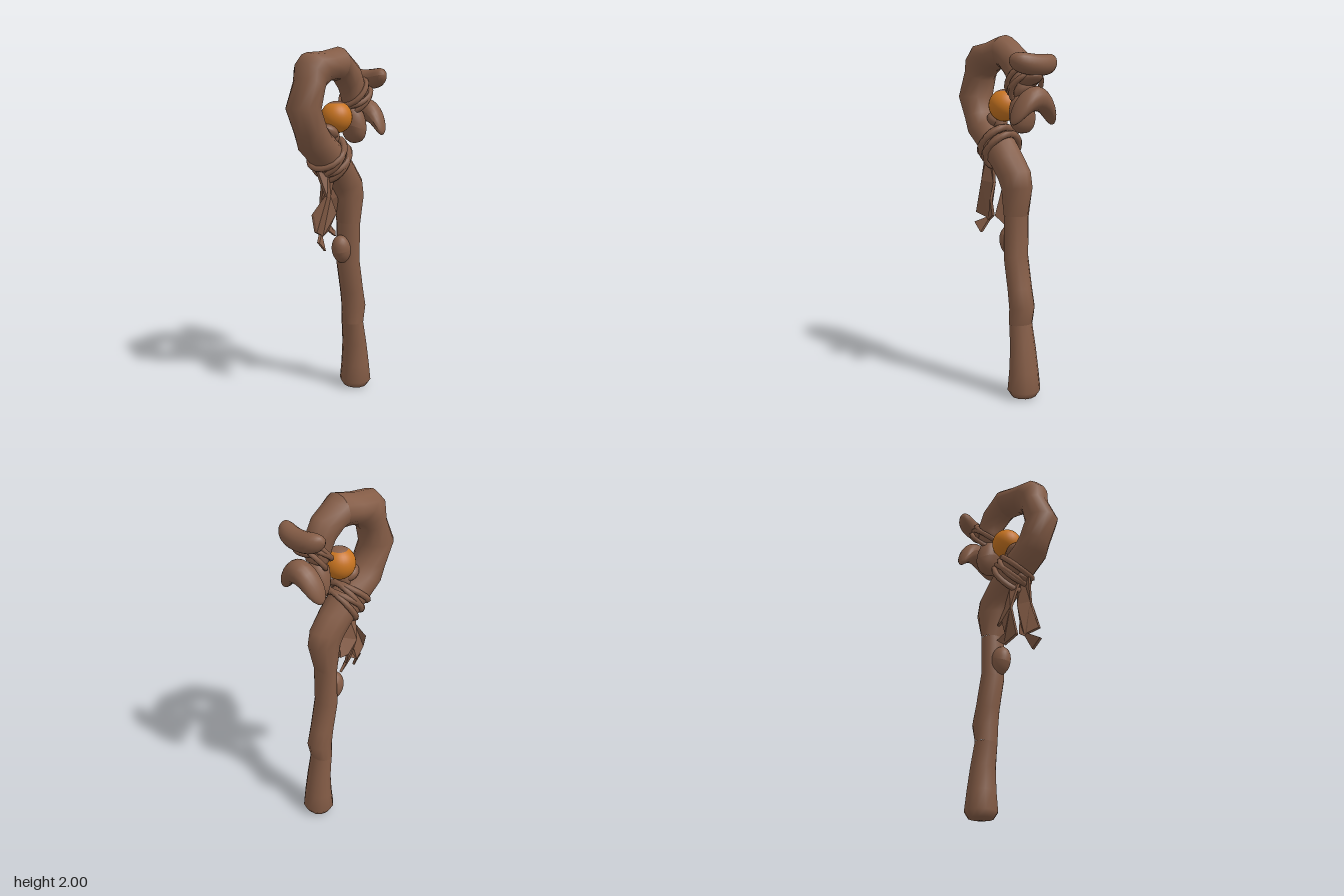
import * as THREE from 'three';

const wood = new THREE.MeshStandardMaterial({ color: 0x845c46 });
wood.name = 'brown wood';
const amber = new THREE.MeshStandardMaterial({ color: 0xc87420 });
amber.name = 'amber';
const cloth = new THREE.MeshStandardMaterial({ color: 0x845c46, side: THREE.DoubleSide });
cloth.name = 'brown cloth';

function add(parent, name, geometry, material, x = 0, y = 0, z = 0, turn = 0) {
  const mesh = new THREE.Mesh(geometry, material);
  mesh.name = name;
  mesh.position.set(x, y, z);
  mesh.rotation.z = turn;
  parent.add(mesh);
  return mesh;
}

// Skin through oval sections, each [outer x, outer y, inner x, inner y];
// half depth runs evenly from depthA to depthB, and closed ends are rounded off
function loft(sections, depthA, depthB, closeStart, closeEnd) {
  const sides = 12, last = sections.length - 1;
  const rings = sections.map(([ax, ay, bx, by], i) => ({
    x: (ax + bx) / 2, y: (ay + by) / 2, u: (bx - ax) / 2, v: (by - ay) / 2,
    depth: THREE.MathUtils.lerp(depthA, depthB, i / last),
  }));
  const cap = (r, side) => [[0.75, 0.2], [0.02, 0.25]].map(([s, out]) => ({
    x: r.x - r.v * out * side * 2, y: r.y + r.u * out * side * 2,
    u: r.u * s, v: r.v * s, depth: r.depth * s,
  }));
  if (closeEnd) rings.push(...cap(rings[last], 1));
  if (closeStart) rings.unshift(...cap(rings[0], -1).reverse());
  const pos = [], index = [];
  rings.forEach((r, i) => {
    for (let j = 0; j < sides; j++) {
      const t = (j / sides) * Math.PI * 2, c = Math.cos(t);
      pos.push(r.x + r.u * c, r.y + r.v * c, Math.sin(t) * r.depth);
      if (i === rings.length - 1) continue;
      const p = i * sides + j, q = i * sides + (j + 1) % sides;
      index.push(p, p + sides, q, q, p + sides, q + sides);
    }
  });
  const g = new THREE.BufferGeometry();
  g.setAttribute('position', new THREE.Float32BufferAttribute(pos, 3));
  g.setIndex(index);
  g.computeVertexNormals();
  return g;
}

// Ellipsoid along z whose ends swell and bend by (bendX, bendY)
function lobe(rx, ry, rz, bendX = 0, bendY = 0, swell = 0) {
  const g = new THREE.SphereGeometry(1, 18, 16).rotateX(Math.PI / 2);
  const p = g.attributes.position;
  for (let i = 0; i < p.count; i++) {
    const z = p.getZ(i), s = 1 + swell * z * z;
    p.setXYZ(i, p.getX(i) * rx * s + bendX * z * z, p.getY(i) * ry * s + bendY * z * z, z * rz);
  }
  g.computeVertexNormals();
  return g;
}

// Bands looped round a branch whose direction is the given angle
function wraps(parent, name, x, y, angle, rx, rz, tube, count, gap) {
  const group = new THREE.Group();
  group.name = name;
  group.position.set(x, y, 0);
  group.rotation.z = angle;
  for (let i = 0; i < count; i++) {
    const g = new THREE.TorusGeometry(1, tube / rz, 6, 20).rotateY(Math.PI / 2);
    g.scale(rz, rx, rz);
    const lean = i % 2 ? -0.12 : 0.12;
    const band = add(group, 'band', g, wood, (i - (count - 1) / 2) * gap, 0, 0, lean);
    band.rotation.y = lean;
  }
  parent.add(group);
}

// Ragged strip with a ripple in depth
function strip(parent, name, points, z, phase) {
  const shape = new THREE.Shape(points.map(([x, y]) => new THREE.Vector2(x, y)));
  const g = new THREE.ExtrudeGeometry(shape, { depth: 0.018, bevelEnabled: false });
  const p = g.attributes.position;
  for (let i = 0; i < p.count; i++) {
    p.setZ(i, p.getZ(i) + z + 0.025 * Math.sin(p.getY(i) * 20 + p.getX(i) * 25 + phase));
  }
  g.computeVertexNormals();
  add(parent, name, g, cloth);
}

export function createModel() {
  const model = new THREE.Group();
  model.name = 'staff';

  // Flared foot, shaft and bend, joined to the hook under the binding
  add(model, 'foot', loft([
    [0.105, 0.045, 0.285, 0.045], [0.115, 0.15, 0.272, 0.15],
    [0.12, 0.28, 0.25, 0.28], [0.105, 0.41, 0.225, 0.42],
  ], 0.095, 0.067, true, false), wood);
  add(model, 'shaft', loft([
    [0.105, 0.41, 0.225, 0.42], [0.1, 0.5, 0.25, 0.52], [0.093, 0.6, 0.22, 0.62],
    [0.06, 0.78, 0.183, 0.8], [0.065, 1.02, 0.182, 1.02],
  ], 0.069, 0.073, false, false), wood);
  add(model, 'bend', loft([
    [0.065, 1.02, 0.182, 1.02], [0.03, 1.165, 0.225, 1.18], [0.005, 1.21, 0.205, 1.27],
    [-0.04, 1.27, 0.13, 1.36], [-0.12, 1.34, 0.06, 1.44],
  ], 0.075, 0.1, false, false), wood);
  add(model, 'hook', loft([
    [-0.12, 1.34, 0.06, 1.44], [-0.25, 1.45, -0.07, 1.54], [-0.272, 1.53, -0.12, 1.59],
    [-0.345, 1.675, -0.153, 1.67], [-0.272, 1.83, -0.135, 1.76], [-0.27, 1.91, -0.11, 1.785],
    [-0.22, 1.962, -0.07, 1.81], [-0.1, 1.972, -0.02, 1.82], [0.03, 2, 0.02, 1.82],
  ], 0.1, 0.094, false, false), wood);
  add(model, 'hookTip', loft([
    [0.03, 2, 0.02, 1.82], [0.07, 1.975, 0.045, 1.805], [0.17, 1.91, 0.08, 1.76],
    [0.22, 1.83, 0.09, 1.72], [0.23, 1.72, 0.11, 1.67],
  ], 0.094, 0.065, false, true), wood);

  // Knot on the shaft
  add(model, 'shaftKnot', lobe(0.06, 0.085, 0.055), wood, 0.065, 0.87, 0, 0.25);

  // Orb with its dark crown and the stub that holds it
  const orb = new THREE.Group();
  orb.name = 'orb';
  orb.position.set(0.018, 1.622, 0);
  const cut = 0.55;
  add(orb, 'orbBody', new THREE.SphereGeometry(0.088, 28, 18, 0, Math.PI * 2, cut, Math.PI - cut), amber);
  add(orb, 'orbCrown', new THREE.SphereGeometry(0.088, 28, 5, 0, Math.PI * 2, 0, cut), wood);
  model.add(orb);
  add(model, 'orbStub', lobe(0.06, 0.04, 0.055), wood, -0.05, 1.545, 0, -0.45);
  add(model, 'orbNeck', lobe(0.035, 0.06, 0.04), wood, -0.015, 1.52);

  // Bindings below the hook and at the hook tip
  wraps(model, 'shaftBinding', -0.03, 1.4, 2.43, 0.112, 0.1, 0.018, 4, 0.027);
  wraps(model, 'tipBinding', 0.185, 1.735, 2.3, 0.095, 0.085, 0.015, 3, 0.028);
  add(model, 'clothKnot', lobe(0.04, 0.035, 0.05), wood, -0.1, 1.35, 0, 0.5);

  // Hanging rags
  strip(model, 'longRag', [
    [-0.15, 1.345], [-0.09, 1.37], [-0.04, 1.33], [-0.055, 1.19], [-0.045, 1.1], [-0.07, 1.0],
    [-0.115, 0.97], [-0.135, 0.9], [-0.19, 0.955], [-0.13, 0.985], [-0.195, 1.01], [-0.18, 1.1],
    [-0.125, 1.2],
  ], 0.015, 0);
  strip(model, 'shortRag', [
    [-0.09, 1.35], [-0.02, 1.32], [0.03, 1.18], [0.05, 1.07], [0.005, 1.08], [0, 1.01],
    [0.05, 0.975], [0.02, 0.952], [-0.06, 1.0], [-0.06, 1.15],
  ], -0.035, 2);

  // Bent growths at the hook tip
  add(model, 'upperGrowth', lobe(0.053, 0.055, 0.15, -0.035, 0.015, 0.6), wood, 0.287, 1.828, 0, -0.15);
  add(model, 'lowerGrowth', lobe(0.062, 0.065, 0.142, -0.025, -0.12, 0.5), wood, 0.282, 1.655);
  add(model, 'innerGrowth', lobe(0.065, 0.115, 0.075, 0, -0.03), wood, 0.168, 1.585, 0, 0.12);
  add(model, 'growthStem', lobe(0.075, 0.03, 0.06), wood, 0.235, 1.755, 0, 0.3);

  return model;
}
